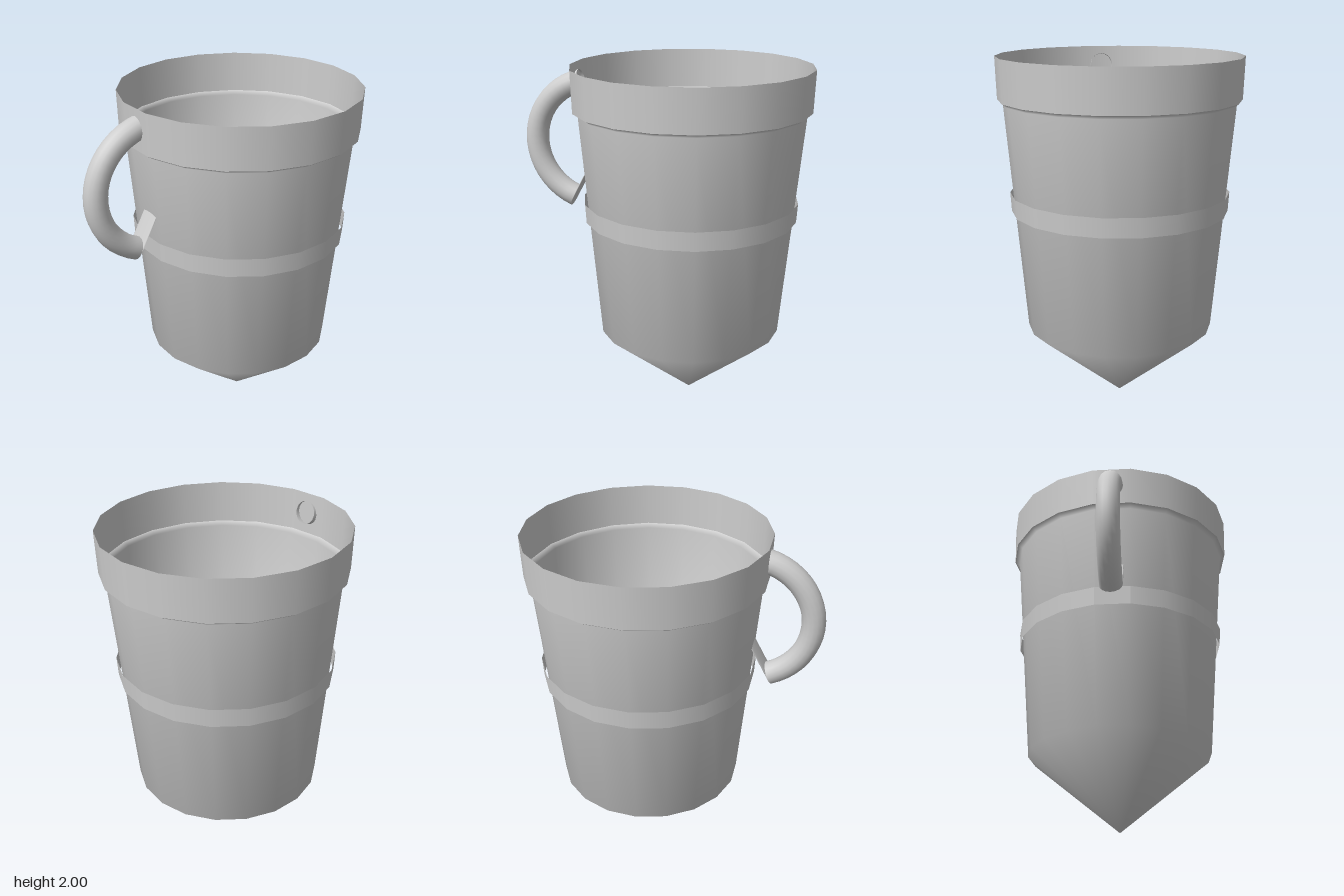
import * as THREE from 'three';

const SIDES = 19;
const CENTRE_Z = -0.155;
const STEP = (Math.PI * 2) / SIDES;

// Revolved wall with a corner at the back and a flat facet at the front
function wall(points, segments = SIDES, start = Math.PI, length = Math.PI * 2) {
  const profile = points.map(([r, y]) => new THREE.Vector2(r, y));
  return new THREE.LatheGeometry(profile, segments, start, length);
}

// Smooth skin through a series of closed rings
function loft(rings) {
  const n = rings[0].length;
  const index = [];
  for (let i = 0; i < rings.length - 1; i++) {
    for (let j = 0; j < n; j++) {
      const k = (j + 1) % n;
      const a = i * n + j, b = a + n, c = (i + 1) * n + k, d = i * n + k;
      index.push(a, b, c, a, c, d);
    }
  }
  const geometry = new THREE.BufferGeometry().setFromPoints(rings.flat());
  geometry.setIndex(index);
  geometry.computeVertexNormals();
  return geometry;
}

// Ring of the handle at an angle measured from straight up towards the front
function handleRing(angle) {
  const ring = [];
  for (let j = 0; j < 16; j++) {
    const phi = (j / 16) * Math.PI * 2;
    const r = 0.362 + 0.066 * Math.cos(phi);
    ring.push(new THREE.Vector3(
      0.066 * Math.sin(phi),
      1.54 + r * Math.cos(angle),
      0.411 + r * Math.sin(angle)
    ));
  }
  return ring;
}

export function createModel() {
  const group = new THREE.Group();
  const metal = new THREE.MeshStandardMaterial({ color: 0xcccccc, side: THREE.DoubleSide });
  metal.name = 'grey metal';

  const add = (name, geometry, z = 0) => {
    const mesh = new THREE.Mesh(geometry, metal);
    mesh.name = name;
    mesh.position.z = z;
    group.add(mesh);
  };

  // Open body: pointed base, tapered side and the small ledge under the rim
  add('body', wall([[0, 0], [0.535, 0.445], [0.645, 1.745], [0.675, 1.765]]), CENTRE_Z);
  add('rim', wall([[0.675, 1.765], [0.682, 2]]), CENTRE_Z);

  // Hoop around the middle, with a flat front facet
  const hoop = [[0.614, 1.135], [0.62, 1.243]];
  add('hoop', wall(hoop, SIDES - 1, STEP / 2, STEP * (SIDES - 1)), CENTRE_Z);
  const facet = wall(hoop, 1, -STEP / 2, STEP).toNonIndexed();
  facet.computeVertexNormals();
  add('hoopFront', facet, CENTRE_Z);

  // Curved handle on the front
  const from = THREE.MathUtils.degToRad(13);
  const to = THREE.MathUtils.degToRad(158);
  const rings = [];
  for (let i = 0; i <= 20; i++) rings.push(handleRing(from + ((to - from) * i) / 20));
  add('handle', loft(rings));

  // Lower end of the handle, turned back up into the body
  const bend = handleRing(to);
  const tip = bend.map((p) => p.clone().add(new THREE.Vector3(0, 0.24, -0.13)));
  add('handleEnd', loft([bend, tip]));

  return group;
}
